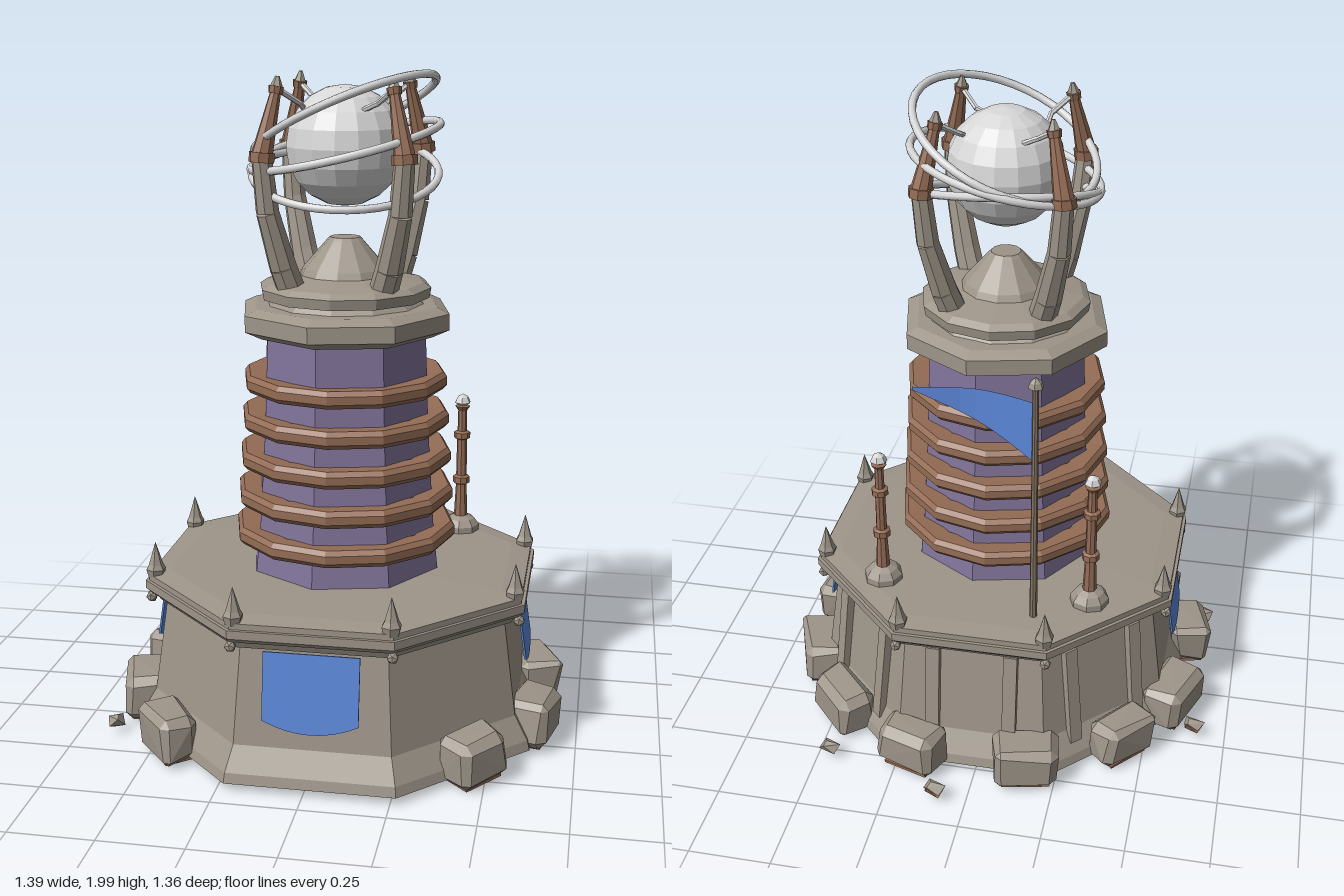
import * as THREE from 'three';
import { ConvexGeometry } from 'three/addons/geometries/ConvexGeometry.js';

const mat = (name, color, side = THREE.FrontSide) => {
  const m = new THREE.MeshStandardMaterial({ color, side });
  m.name = name;
  return m;
};
const V = (x, y, z = 0) => new THREE.Vector3(x, y, z);

export function createModel() {
  const stone = mat('stone', 0x9e9589, THREE.DoubleSide);
  const wood = mat('copper brown', 0x946c55);
  const purple = mat('purple wall', 0x82759b);
  const blue = mat('blue cloth', 0x5a85d6, THREE.DoubleSide);
  const silver = mat('silver', 0xd6d6d6);
  const poleMat = mat('weathered pole', 0x857563);

  const model = new THREE.Group();
  const tower = new THREE.Group();
  tower.name = 'observatory';
  tower.position.set(0.02, 0, 0.085);
  model.add(tower);

  let seed = 7;
  const rnd = () => (seed = (seed * 16807) % 2147483647) / 2147483647 - 0.5;

  const flat = (g) => {
    const n = g.index ? g.toNonIndexed() : g;
    n.computeVertexNormals();
    return n;
  };
  const add = (name, geo, material, parent = tower, smooth = false) => {
    const mesh = new THREE.Mesh(smooth ? geo : flat(geo), material);
    mesh.name = name;
    parent.add(mesh);
    return mesh;
  };
  // Faceted turned shape; profile is [radius, y] from bottom to top
  const turned = (name, profile, sides, material, turn = 0, parent = tower) =>
    add(name, new THREE.LatheGeometry(profile.map(([r, y]) => new THREE.Vector2(r, y)), sides, turn), material, parent);
  const strut = (name, a, b, ra, rb, material, parent = tower, sides = 8) => {
    const d = b.clone().sub(a);
    const m = add(name, new THREE.CylinderGeometry(rb, ra, d.length(), sides), material, parent);
    m.position.copy(a).addScaledVector(d, 0.5);
    m.quaternion.setFromUnitVectors(V(0, 1), d.normalize());
    return m;
  };

  // Octagonal base and deck, flat sides facing the axes
  const E = Math.PI / 8, C = 1 / Math.cos(E);
  const octagon = (name, profile) => turned(name, profile.map(([a, y]) => [a * C, y]), 8, stone, E);
  octagon('baseWall', [[0.597, 0.03], [0.59, 0.06], [0.55, 0.13], [0.51, 0.43]]);
  octagon('deck', [[0, 0.42], [0.53, 0.42], [0.54, 0.44], [0.555, 0.445], [0.57, 0.46], [0.57, 0.485],
    [0.56, 0.485], [0.56, 0.503], [0.5, 0.511], [0, 0.513]]);

  // Corner spikes and knobs
  for (let i = 0; i < 8; i++) {
    const a = E + (i * Math.PI) / 4, s = Math.sin(a), c = Math.cos(a);
    const spike = turned('cornerSpike', [[0, 0.49], [0.024, 0.495], [0.03, 0.52], [0.022, 0.535], [0, 0.605]], 6, stone);
    spike.position.set(s * 0.585, 0, c * 0.585);
    const knob = add('cornerKnob', new THREE.IcosahedronGeometry(0.018), stone);
    knob.position.set(s * 0.6, 0.432, c * 0.6);
  }

  // Wall ribs on the three rear sides
  for (const turn of [0.75, 1, 1.25]) {
    const side = new THREE.Group();
    side.name = 'rearRibs';
    side.rotation.y = Math.PI * turn;
    tower.add(side);
    for (const x of [-0.12, 0.12]) {
      const rib = add('rib', new THREE.BoxGeometry(0.042, 0.33, 0.04), stone, side);
      rib.position.set(x, 0.255, 0.537);
      rib.rotation.x = -0.12;
    }
  }

  // Hanging banners: front, left and right
  [[0, 0.138, 0.23], [Math.PI / 2, 0.112, 0.19], [-Math.PI / 2, 0.112, 0.19]].forEach(([turn, w, h]) => {
    const s = new THREE.Shape();
    s.moveTo(-w, 0);
    s.lineTo(-w, -h * 0.86);
    s.quadraticCurveTo(0, -h * 1.14, w, -h * 0.86);
    s.lineTo(w, 0);
    const holder = new THREE.Group();
    holder.name = 'bannerSide';
    holder.rotation.y = turn;
    tower.add(holder);
    const b = add('banner', new THREE.ExtrudeGeometry(s, { depth: 0.006, bevelEnabled: false, curveSegments: 8 }), blue, holder);
    b.position.set(0, 0.42, 0.543);
    b.rotation.x = -0.15;
  });

  // Chamfered boulders round the foot: [x, z, length]
  const boulder = (x, z, l, h, d, turn) => {
    const pts = [];
    for (const sx of [-1, 1]) for (const sy of [-1, 1]) for (const sz of [-1, 1]) {
      const c = 0.02 + rnd() * 0.016, j = () => rnd() * 0.016;
      const px = l / 2 + j(), py = h / 2 + j() * 0.5, pz = d / 2 + j();
      pts.push(V(sx * (px - c), sy * py, sz * (pz - c)), V(sx * px, sy * (py - c), sz * (pz - c)),
        V(sx * (px - c), sy * (py - c), sz * pz));
    }
    const g = new THREE.Group();
    g.name = 'boulder';
    g.position.set(x, 0.02 + h / 2, z);
    g.rotation.set(rnd() * 0.12, turn, rnd() * 0.12);
    tower.add(g);
    add('boulderStone', new ConvexGeometry(pts), stone, g);
    const under = add('boulderUnderside', new THREE.BoxGeometry(l * 0.74, 0.009, d * 0.7), wood, g);
    under.position.y = -h / 2 - 0.003;
  };
  [[-0.18, -0.595, 0.2], [0.18, -0.595, 0.2], [0.45, -0.435, 0.2], [0.585, -0.2, 0.2], [0.6, 0.13, 0.19],
    [0.445, 0.415, 0.18], [-0.455, 0.415, 0.18], [-0.605, 0.14, 0.19], [-0.595, -0.2, 0.21], [-0.45, -0.425, 0.19]]
    .forEach(([x, z, l]) => boulder(x, z, l, 0.138, 0.125, Math.atan2(x, z) + rnd() * 0.1));

  // Loose rubble
  [[0.075, -0.735], [0.44, -0.615], [-0.665, -0.295], [-0.66, 0.3]].forEach(([x, z], i) => {
    const pts = [];
    for (let k = 0; k < 6; k++) {
      const a = (k * Math.PI) / 3;
      pts.push(V(Math.cos(a) * (0.03 + rnd() * 0.016), (k % 2 ? 0.014 : -0.012), Math.sin(a) * (0.026 + rnd() * 0.012)));
    }
    pts.push(V(0.01, 0.022), V(-0.005, -0.02));
    const r = add('rubble', new ConvexGeometry(pts), i % 2 ? stone : wood);
    r.position.set(x, 0.045, z);
    if (i % 2 === 0) {
      const top = add('rubbleTop', new ConvexGeometry(pts.map((p) => V(p.x * 1.08, Math.max(p.y, -0.006) + 0.006, p.z * 1.08))), stone);
      top.position.copy(r.position);
    }
  });

  // Tapered purple shaft with copper hoops
  turned('shaft', [[0.298, 0.5], [0.282, 0.65], [0.262, 0.95], [0.25, 1.26]], 8, purple, 0.62);
  for (let i = 0; i < 5; i++) {
    const y = 0.62 + i * 0.1165, R = 0.338 - i * 0.0075, r = R - 0.07;
    turned('hoop', [[r, y - 0.022], [R - 0.012, y - 0.026], [R, y - 0.012], [R, y + 0.012], [R - 0.012, y + 0.026],
      [r, y + 0.022]], 12, wood);
  }

  // Stone collar and cap
  turned('collar', [[0, 1.225], [0.27, 1.225], [0.322, 1.25], [0.322, 1.298], [0.285, 1.315], [0, 1.32]], 8, stone, 0.62);
  turned('cap', [[0.24, 1.31], [0.22, 1.33], [0.252, 1.335], [0.257, 1.365], [0.235, 1.38], [0.21, 1.385],
    [0.135, 1.4], [0.125, 1.42], [0.055, 1.5], [0.045, 1.51], [0, 1.51]], 12, stone);

  // Four claw arms holding the globe
  for (let i = 0; i < 4; i++) {
    const arm = new THREE.Group();
    arm.name = 'clawArm';
    arm.rotation.y = Math.PI / 4 + (i * Math.PI) / 2;
    tower.add(arm);
    const path = [[0.185, 1.36, 0.043], [0.218, 1.44, 0.041], [0.268, 1.6, 0.034], [0.285, 1.75, 0.03]];
    for (let k = 0; k < 3; k++) {
      const [x0, y0, r0] = path[k], [x1, y1, r1] = path[k + 1];
      strut('armStone', V(x0, y0), V(x1, y1), r0, r1, stone, arm);
    }
    strut('armCollar', V(0.287, 1.742), V(0.284, 1.77), 0.037, 0.037, wood, arm);
    strut('armTip', V(0.284, 1.765), V(0.235, 1.94), 0.031, 0.015, wood, arm);
    strut('tipBand', V(0.238, 1.93), V(0.234, 1.95), 0.02, 0.022, wood, arm);
    strut('tipPoint', V(0.234, 1.95), V(0.23, 1.978), 0.018, 0.006, stone, arm, 6);
    strut('globeRod', V(0.235, 1.945), V(0.155, 1.9), 0.009, 0.008, silver, arm, 6);
    strut('globeRodEnd', V(0.157, 1.902), V(0.12, 1.88, 0.03), 0.008, 0.008, silver, arm, 6);
  }

  // Globe and its three tilted orbit rings: [centre y, radius, slope in x, slope in z]
  add('globe', new THREE.SphereGeometry(0.175, 16, 10), silver).position.y = 1.775;
  [[1.86, 0.283, 0.45, 0.19], [1.775, 0.283, 0.23, -0.07], [1.7, 0.272, -0.05, -0.3]].forEach(([y, r, sx, sz]) => {
    const ring = add('orbitRing', new THREE.TorusGeometry(r, 0.012, 8, 40), silver, tower, true);
    ring.position.y = y;
    ring.quaternion.setFromUnitVectors(V(0, 0, 1), V(-sx, 1, -sz).normalize());
  });

  // Pair of lamp posts on the rear of the deck
  for (const x of [-0.325, 0.325]) {
    const post = new THREE.Group();
    post.name = 'lampPost';
    post.position.set(x, 0, -0.325);
    tower.add(post);
    turned('lampFoot', [[0.06, 0.505], [0.06, 0.53], [0.045, 0.55], [0.025, 0.56], [0, 0.56]], 8, stone, 0, post);
    turned('lampStem', [[0.022, 0.555], [0.017, 0.665], [0.027, 0.67], [0.027, 0.69], [0.017, 0.695], [0.016, 0.815],
      [0.026, 0.82], [0.026, 0.838], [0.015, 0.843], [0.014, 0.91], [0.024, 0.925], [0, 0.93]], 8, wood, 0, post);
    turned('lampCrystal', [[0, 0.92], [0.027, 0.937], [0.018, 0.955], [0, 0.965]], 6, silver, 0, post);
  }

  // Flagpole with a waving pennant
  const flag = new THREE.Group();
  flag.name = 'flagpole';
  flag.position.set(-0.17, 0, -0.43);
  tower.add(flag);
  strut('pole', V(0, 0.5), V(0, 1.3), 0.012, 0.009, poleMat, flag);
  turned('poleFinial', [[0, 1.285], [0.024, 1.298], [0.018, 1.315], [0, 1.33]], 6, stone, 0, flag);
  const pennant = new THREE.PlaneGeometry(1, 1, 8, 2);
  const p = pennant.attributes.position;
  for (let i = 0; i < p.count; i++) {
    const u = p.getX(i) + 0.5, v = p.getY(i) + 0.5;
    const top = 1.245 - 0.035 * u, h = 0.185 * (1 - u) + 0.01;
    p.setXYZ(i, u * 0.38, top - h * (1 - v), 0.09 * Math.sin(Math.min(1, u * 1.5) * Math.PI / 2));
  }
  add('pennant', pennant, blue, flag);

  return model;
}
